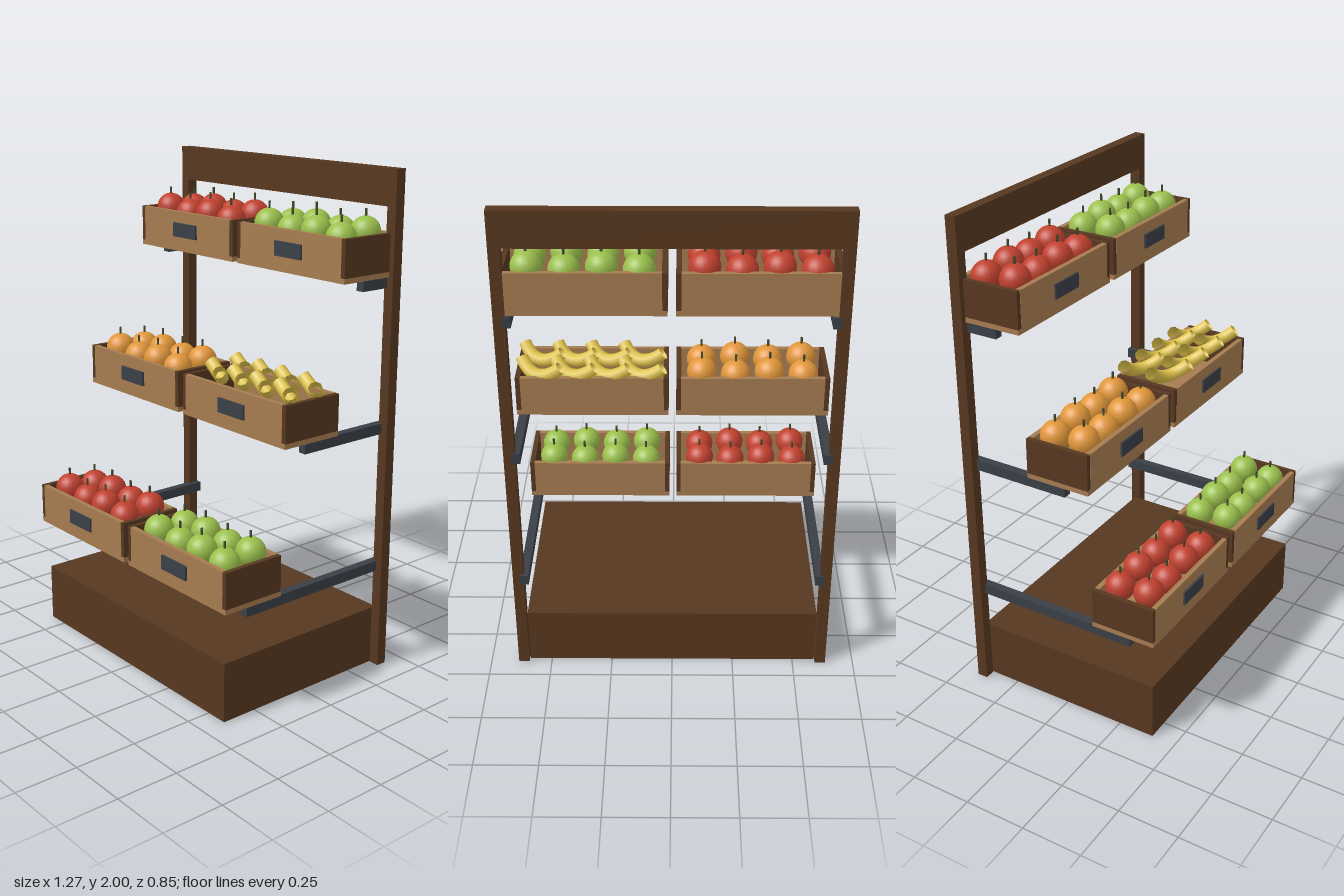
import * as THREE from 'three';

const mat = (name, color, side = THREE.FrontSide) => {
  const m = new THREE.MeshStandardMaterial({ color, side });
  m.name = name;
  return m;
};

export function createModel() {
  const darkWood = mat('dark wood', 0x573820);
  const lightWood = mat('light wood', 0xa67c50);
  const metal = mat('slate metal', 0x3a3f47);
  const red = mat('red apple', 0xc0412f);
  const green = mat('green apple', 0x9ac04c);
  const orange = mat('orange', 0xe0963a);
  const yellow = mat('banana yellow', 0xdcc048, THREE.DoubleSide);
  const stemColor = mat('stem', 0x434a2c);

  const root = new THREE.Group();
  root.name = 'fruitStand';

  const add = (parent, name, geometry, material, x, y, z) => {
    const mesh = new THREE.Mesh(geometry, material);
    mesh.name = name;
    mesh.position.set(x, y, z);
    parent.add(mesh);
    return mesh;
  };
  // Box given by its minimum and maximum corners
  const box = (parent, name, material, x0, x1, y0, y1, z0, z1) =>
    add(parent, name, new THREE.BoxGeometry(x1 - x0, y1 - y0, z1 - z0), material,
      (x0 + x1) / 2, (y0 + y1) / 2, (z0 + z1) / 2);

  // Frame and plinth
  box(root, 'base', darkWood, -0.59, 0.59, 0, 0.24, -0.4, 0.4);
  box(root, 'leftPost', darkWood, 0.593, 0.636, 0, 1.86, -0.42, -0.376);
  box(root, 'rightPost', darkWood, -0.636, -0.593, 0, 1.86, -0.42, -0.376);
  box(root, 'topBeam', darkWood, -0.636, 0.636, 1.86, 2, -0.42, -0.376);

  // Shared fruit geometry
  const fruitGeo = new THREE.SphereGeometry(0.059, 20, 14);
  const stemGeo = new THREE.CylinderGeometry(0.005, 0.005, 0.045, 6);
  const bananaGeo = new THREE.TubeGeometry(new THREE.QuadraticBezierCurve3(
    new THREE.Vector3(-0.078, 0.03, -0.045),
    new THREE.Vector3(0.03, -0.055, -0.045),
    new THREE.Vector3(0.08, 0.03, 0.042)), 10, 0.027, 8, false);

  // Open crate: local origin at the middle of its underside
  const crate = (x, y, z, fruit) => {
    const g = new THREE.Group();
    g.name = 'crate';
    g.position.set(x, y, z);
    root.add(g);
    box(g, 'floor', lightWood, -0.3, 0.3, 0, 0.02, -0.135, 0.135);
    for (const s of [-1, 1]) {
      box(g, s < 0 ? 'backPanel' : 'frontPanel', lightWood,
        -0.281, 0.281, 0.02, 0.165, s * 0.125 - 0.01, s * 0.125 + 0.01);
      box(g, s < 0 ? 'rightPanel' : 'leftPanel', darkWood,
        s * 0.29 - 0.01, s * 0.29 + 0.01, 0.02, 0.165, -0.134, 0.134);
    }
    box(g, 'label', metal, -0.074, 0.074, 0.06, 0.118, 0.135, 0.143);

    // Two rows of four fruits
    for (let row = 0; row < 2; row++) {
      for (let i = 0; i < 4; i++) {
        const fx = (i - 1.5) * 0.133;
        const fz = -0.071 + row * 0.127;
        const fy = 0.152 + 0.012 * ((i + row) % 2);
        if (fruit === yellow) {
          add(g, 'banana', bananaGeo, yellow, fx, 0.17, fz);
        } else {
          add(g, 'fruit', fruitGeo, fruit, fx, fy, fz);
          add(g, 'stem', stemGeo, stemColor, fx, fy + 0.063, fz);
        }
      }
    }
  };

  // Three stepped tiers, each with two support arms and two crates
  const tiers = [
    { y: 0.45, z: 0.281, fruits: [red, green] },
    { y: 1.024, z: 0.003, fruits: [orange, yellow] },
    { y: 1.598, z: -0.275, fruits: [red, green] },
  ];
  for (const { y, z, fruits } of tiers) {
    for (const s of [-1, 1]) {
      box(root, s < 0 ? 'rightArm' : 'leftArm', metal,
        s * 0.59 - 0.017, s * 0.59 + 0.017, y - 0.042, y, -0.425, z + 0.026);
      crate(s * 0.315, y, z, fruits[s < 0 ? 0 : 1]);
    }
  }
  return root;
}
